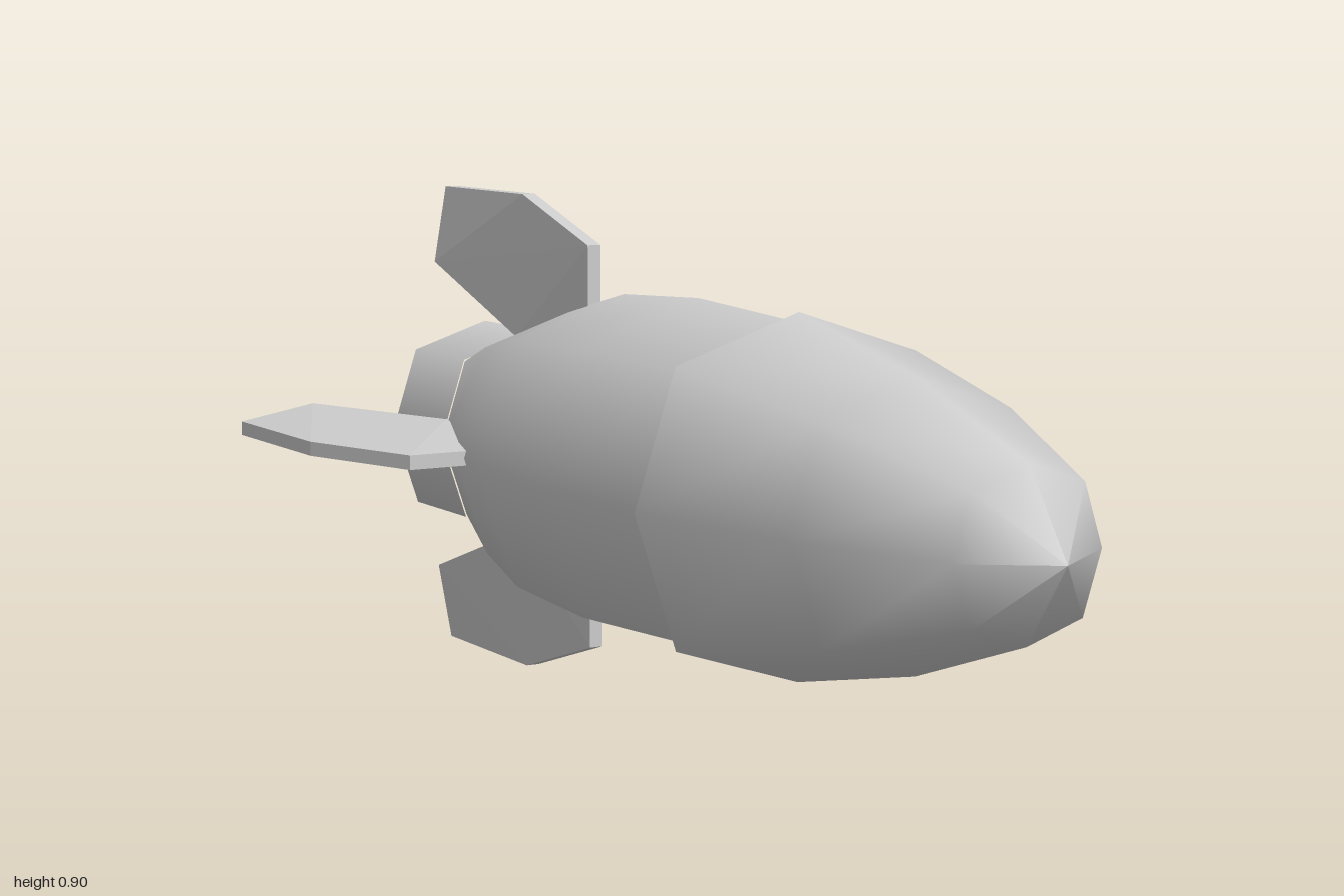
import * as THREE from 'three';
import { ConvexGeometry } from 'three/addons/geometries/ConvexGeometry.js';

const AXIS_Y = 0.452;
const material = new THREE.MeshStandardMaterial({ color: 0xcccccc });

// Eight-sided shell along z from [z, radius] pairs, running from back to front
function shell(name, profile) {
  const points = profile.map(([z, r]) => new THREE.Vector2(r, z));
  const geometry = new THREE.LatheGeometry(points, 8);
  const pos = geometry.attributes.position;
  for (let i = 0; i < pos.count; i++) {
    // the diagonal corners stand slightly further out than the axis ones
    const column = Math.floor(i / points.length);
    const s = column % 2 ? 1.066 : 1;
    pos.setX(i, pos.getX(i) * s);
    pos.setZ(i, pos.getZ(i) * s);
  }
  geometry.rotateX(Math.PI / 2);
  const mesh = new THREE.Mesh(geometry, material);
  mesh.name = name;
  return mesh;
}

// Tapered fin pointing up: [z, height, half thickness]
function finGeometry() {
  const outline = [
    [-0.415, 0.2, 0.013], [-0.415, 0.37, 0.013], [-0.67, 0.45, 0.013],
    [-1, 0.45, 0.013], [-1, 0.303, 0.039], [-0.65, 0.185, 0.039],
  ];
  const points = outline.flatMap(([z, y, t]) => [
    new THREE.Vector3(t, y, z), new THREE.Vector3(-t, y, z),
  ]);
  return new ConvexGeometry(points);
}

export function createModel() {
  const model = new THREE.Group();
  model.name = 'finnedBomb';

  // Hull: nose cap with its rear lip, body, tail tube and end plate
  model.add(
    shell('noseCap', [[0.28, 0.305], [0.62, 0.232], [0.905, 0.135], [1, 0]]),
    shell('noseLip', [[0.27, 0.28], [0.28, 0.305]]),
    shell('body', [[-0.655, 0.191], [-0.48, 0.25], [-0.3, 0.29], [-0.04, 0.303], [0.28, 0.288]]),
    shell('tailTube', [[-0.86, 0.196], [-0.65, 0.196]]),
    shell('tailPlate', [[-0.86, 0], [-0.86, 0.196]]),
  );

  // Four fins around the tail
  const fin = finGeometry();
  ['topFin', 'leftFin', 'bottomFin', 'rightFin'].forEach((name, i) => {
    const mesh = new THREE.Mesh(fin, material);
    mesh.name = name;
    mesh.rotation.z = -i * Math.PI / 2;
    model.add(mesh);
  });

  model.position.y = AXIS_Y;
  const root = new THREE.Group();
  root.add(model);
  const box = new THREE.Box3().setFromObject(root);
  model.position.y -= box.min.y;
  return root;
}
